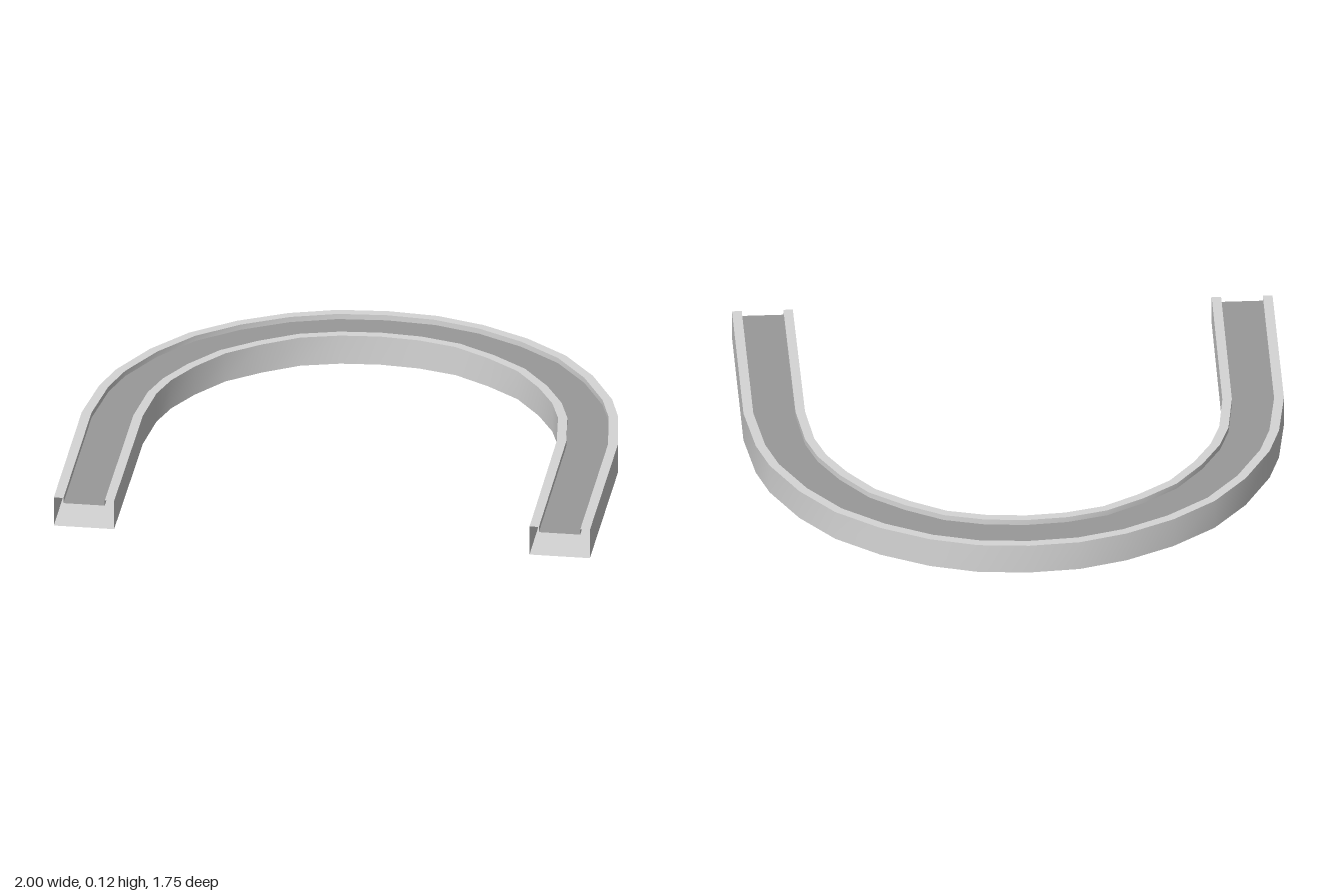
import * as THREE from 'three';

// Matching plan points [x, z] along the outer and inner edges, from the leg end to the crown
const OUTER = [[-1, 0.875], [-1, 0.136], [-0.968, -0.1], [-0.925, -0.245], [-0.826, -0.436], [-0.702, -0.594],
  [-0.542, -0.718], [-0.364, -0.81], [-0.188, -0.863], [0, -0.878]];
const INNER = [[-0.775, 0.875], [-0.772, 0.136], [-0.749, -0.06], [-0.711, -0.18], [-0.642, -0.307], [-0.545, -0.436],
  [-0.422, -0.53], [-0.29, -0.608], [-0.146, -0.646], [0, -0.658]];

const HEIGHT = 0.115;
const FLOOR = 0.094;

// Mirror half a path across x = 0
const mirrored = (half) => [...half, ...half.slice(0, -1).reverse().map(([x, z]) => [-x, z])];
const outer = mirrored(OUTER);
const inner = mirrored(INNER);

// Sweep one segment of the cross-section along the path; t runs 0 (outer edge) to 1 (inner edge)
function sweep([t0, y0], [t1, y1]) {
  const positions = [];
  const index = [];
  outer.forEach(([ox, oz], i) => {
    const [ix, iz] = inner[i];
    for (const [t, y] of [[t0, y0], [t1, y1]]) {
      positions.push(ox + (ix - ox) * t, y, oz + (iz - oz) * t);
    }
    if (i < outer.length - 1) {
      const a = i * 2;
      index.push(a, a + 1, a + 2, a + 1, a + 3, a + 2);
    }
  });
  const geometry = new THREE.BufferGeometry();
  geometry.setAttribute('position', new THREE.Float32BufferAttribute(positions, 3));
  geometry.setIndex(index);
  geometry.computeVertexNormals();
  return geometry;
}

export function createModel() {
  const shell = new THREE.MeshStandardMaterial({ color: 0xd6d6d6, side: THREE.DoubleSide });
  shell.name = 'light grey shell';
  const track = new THREE.MeshStandardMaterial({ color: 0x999999, side: THREE.DoubleSide });
  track.name = 'mid grey track';

  // Open-ended hollow section, walked from the outer foot over the top and back underneath
  const a = 0.16;
  const b = 0.845;
  const parts = [
    ['outerWall', [0, 0], [0, HEIGHT], shell],
    ['outerRim', [0, HEIGHT], [a, HEIGHT], shell],
    ['outerChannelWall', [a, HEIGHT], [a, FLOOR], shell],
    ['channelFloor', [a, FLOOR], [b, FLOOR], track],
    ['innerChannelWall', [b, FLOOR], [b, HEIGHT], shell],
    ['innerRim', [b, HEIGHT], [1, HEIGHT], shell],
    ['innerWall', [1, HEIGHT], [1, 0], shell],
    ['underside', [1, 0], [0, 0], shell],
  ];

  const group = new THREE.Group();
  group.name = 'curvedTrack';
  for (const [name, from, to, material] of parts) {
    const mesh = new THREE.Mesh(sweep(from, to), material);
    mesh.name = name;
    group.add(mesh);
  }
  return group;
}
